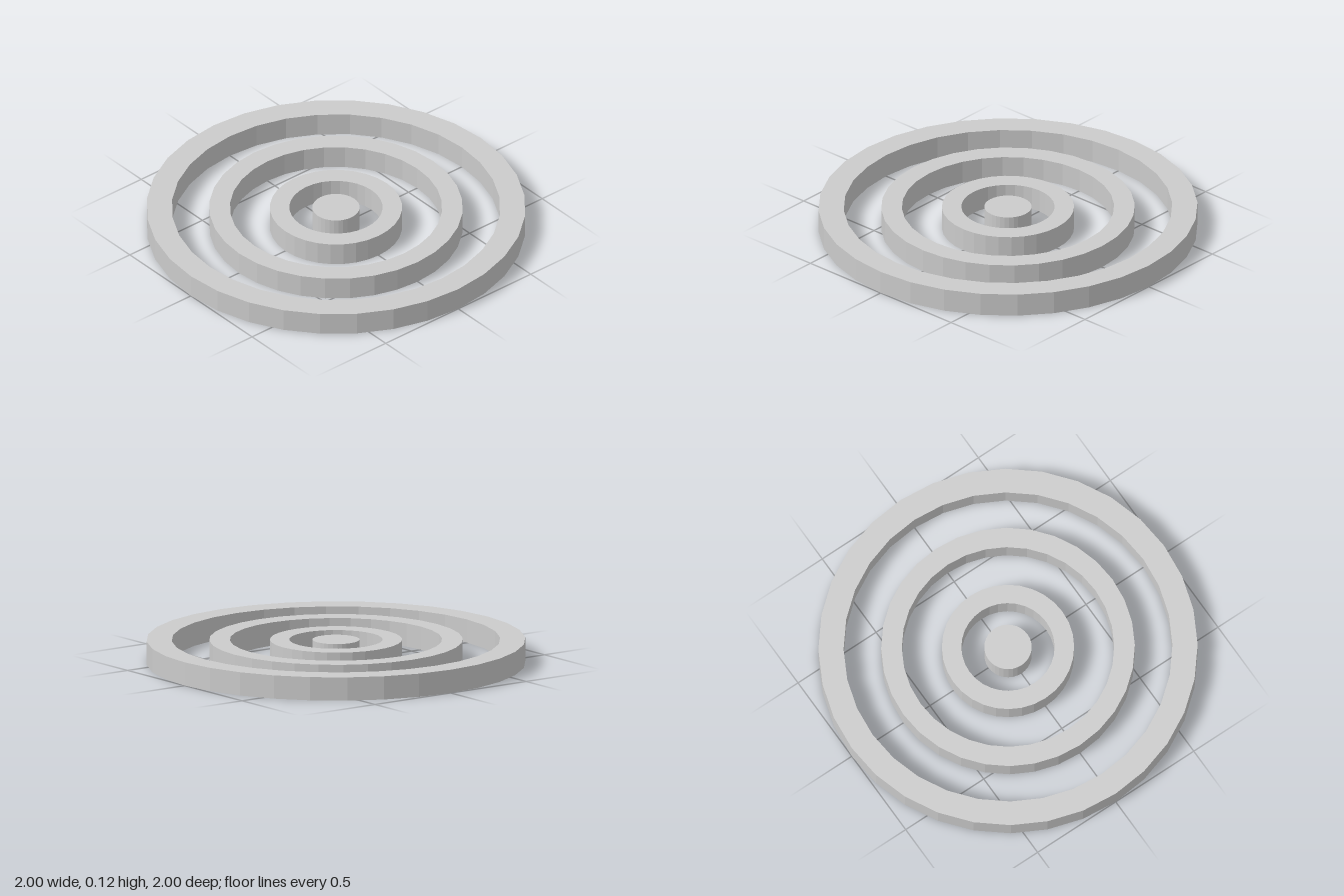
import * as THREE from 'three';

const SIDES = 32;
const HEIGHT = 0.125;

export function createModel() {
  const group = new THREE.Group();
  group.name = 'concentricRings';
  const material = new THREE.MeshStandardMaterial({ color: 0xcccccc, flatShading: true });

  const add = (name, geometry) => {
    const mesh = new THREE.Mesh(geometry, material);
    mesh.name = name;
    group.add(mesh);
    return mesh;
  };

  // Flat rings: a rectangular section turned around the y axis
  const ring = (inner, outer) => new THREE.LatheGeometry(
    [[outer, 0], [outer, HEIGHT], [inner, HEIGHT], [inner, 0], [outer, 0]]
      .map(([r, y]) => new THREE.Vector2(r, y)),
    SIDES
  );
  add('outerRing', ring(0.867, 1));
  add('middleRing', ring(0.56, 0.669));
  add('innerRing', ring(0.246, 0.349));

  // Solid disc in the middle
  add('centerDisc', new THREE.CylinderGeometry(0.125, 0.125, HEIGHT, SIDES)).position.y = HEIGHT / 2;

  return group;
}
